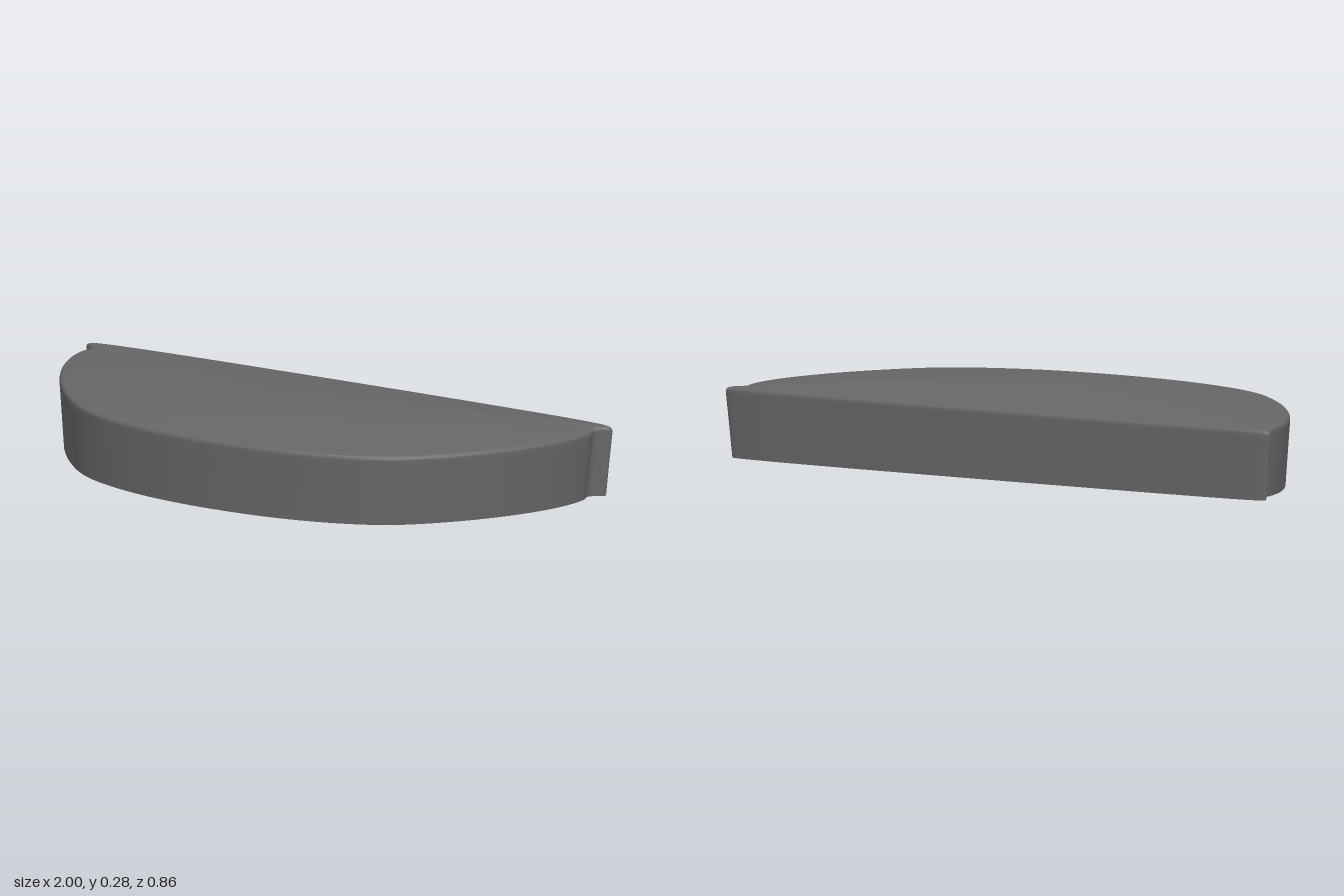
import * as THREE from 'three';

// Half of the plan outline [x, z], from the back centre round the flange tip to the front centre
const HALF = [
  [0, -0.432], [0.3, -0.431], [0.6, -0.428], [0.85, -0.421], [0.96, -0.412], [0.992, -0.404],
  [0.999, -0.395], [0.985, -0.38], [0.96, -0.36], [0.956, -0.345], [0.964, -0.32], [0.965, -0.285],
  [0.955, -0.22], [0.925, -0.13], [0.875, -0.03], [0.81, 0.07], [0.72, 0.18], [0.62, 0.275],
  [0.53, 0.33], [0.42, 0.373], [0.28, 0.408], [0.14, 0.426], [0, 0.431],
];
const PEAK_Z = -0.05, RIM_Y = 0.231, PEAK_Y = 0.277;
const COUNT = 320;

function createOutline() {
  const left = HALF.map(([x, z]) => new THREE.Vector3(x, 0, z));
  const right = HALF.slice(1, -1).reverse().map(([x, z]) => new THREE.Vector3(-x, 0, z));
  const curve = new THREE.CatmullRomCurve3([...left, ...right], true, 'centripetal');
  return curve.getPoints(COUNT * 2).filter((p, i) => i % 2 === 0).slice(0, COUNT);
}

// Open shell: tapered wall, small rounded rim, domed lid with a crease towards each flange
function createShellGeometry() {
  const outline = createOutline();
  const positions = [], indices = [];
  const addRing = (fn) => outline.forEach((p) => positions.push(...fn(p)));

  // Wall
  for (const [scale, y] of [[0.98, 0], [0.99, 0.11], [0.999, 0.205], [1, 0.217]]) {
    addRing((p) => [p.x * scale, y, p.z * scale]);
  }
  // Rounded rim, shrinking towards the peak
  const towardsPeak = (p, s) => [p.x * s, PEAK_Z + (p.z - PEAK_Z) * s];
  for (const [s, y] of [[0.998, 0.223], [0.993, 0.228]]) {
    addRing((p) => { const [x, z] = towardsPeak(p, s); return [x, y, z]; });
  }
  // Dome: the back slope is straighter than the front one
  const lid = [0.984, 0.96, 0.92, 0.86, 0.79, 0.71, 0.62, 0.53, 0.44, 0.35, 0.26, 0.18, 0.1, 0.04];
  for (const s of lid) {
    addRing((p) => {
      const [x, z] = towardsPeak(p, s);
      const slope = (PEAK_Z - p.z) / Math.max(Math.abs(p.x), 0.001);
      const back = THREE.MathUtils.smoothstep(slope, 0.28, 0.42);
      const power = THREE.MathUtils.lerp(1.85, 1.3, back);
      return [x, RIM_Y + (PEAK_Y - RIM_Y) * (1 - Math.pow(s / 0.984, power)), z];
    });
  }
  const rings = positions.length / 3 / COUNT;
  const peak = positions.length / 3;
  positions.push(0, PEAK_Y, PEAK_Z);

  for (let r = 0; r < rings; r++) {
    for (let j = 0; j < COUNT; j++) {
      const k = (j + 1) % COUNT;
      const a = r * COUNT + j, b = r * COUNT + k;
      if (r === rings - 1) indices.push(a, peak, b);
      else indices.push(a, a + COUNT, b, b, a + COUNT, b + COUNT);
    }
  }
  const geometry = new THREE.BufferGeometry();
  geometry.setAttribute('position', new THREE.Float32BufferAttribute(positions, 3));
  geometry.setIndex(indices);
  geometry.computeVertexNormals();
  return geometry;
}

export function createModel() {
  const group = new THREE.Group();
  group.name = 'domedCover';
  const darkGrey = new THREE.MeshStandardMaterial({ color: 0x666666, side: THREE.DoubleSide });
  darkGrey.name = 'dark grey';
  const shell = new THREE.Mesh(createShellGeometry(), darkGrey);
  shell.name = 'coverShell';
  group.add(shell);
  return group;
}
